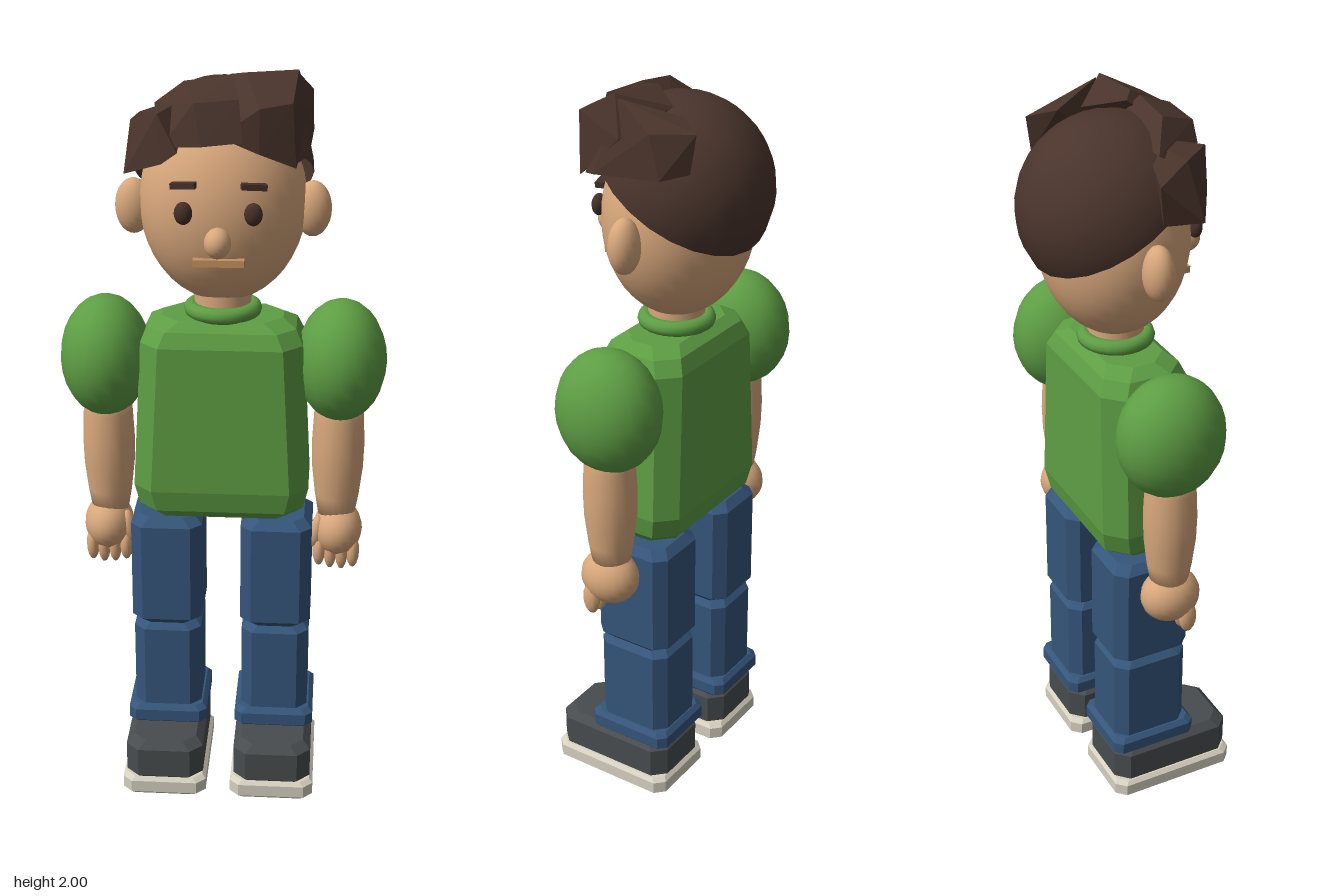
import * as THREE from 'three';
import { ConvexGeometry } from 'three/addons/geometries/ConvexGeometry.js';

const paint = (name, color) => Object.assign(new THREE.MeshStandardMaterial({ color }), { name });

// Chamfered block: levels are [y, halfWidth, halfDepth, centreZ], c is the corner cut
function block(levels, c) {
  const ring = ([y, w, d, z = 0]) => [
    [w, c - d], [w, d - c], [w - c, d], [c - w, d], [-w, d - c], [-w, c - d], [c - w, -d], [w - c, -d],
  ].map(([px, pz]) => [px, y, pz + z]);
  const rings = levels.map(ring);
  const pos = [];
  const tri = (...pts) => pts.forEach((p) => pos.push(...p));
  const last = rings.length - 1;
  const mid = (l) => [0, l[0], l[3] ?? 0];
  for (let j = 0; j < 8; j++) {
    const k = (j + 1) % 8;
    for (let i = 0; i < last; i++) {
      tri(rings[i][j], rings[i + 1][j], rings[i][k]);
      tri(rings[i][k], rings[i + 1][j], rings[i + 1][k]);
    }
    tri(mid(levels[0]), rings[0][j], rings[0][k]);
    tri(mid(levels[last]), rings[last][k], rings[last][j]);
  }
  const g = new THREE.BufferGeometry();
  g.setAttribute('position', new THREE.Float32BufferAttribute(pos, 3));
  g.computeVertexNormals();
  return g;
}

// Block with the same bevel b at top and bottom
const bevelled = (y0, y1, w, d, z, b, c) => block([
  [y0, w - b, d - b, z], [y0 + b, w, d, z], [y1 - b, w, d, z], [y1, w - b, d - b, z],
], c);

const ball = (rx, ry, rz, seg = 20) => new THREE.SphereGeometry(1, seg, Math.round(seg * 0.7)).scale(rx, ry, rz);

export function createModel() {
  const skin = paint('skin', 0xd9a87c);
  const lip = paint('lip', 0xc4925f);
  const hair = paint('hair', 0x4a342c);
  hair.side = THREE.DoubleSide;
  const dark = paint('eye', 0x46302a);
  const shirt = paint('shirt', 0x5e9e44);
  const denim = paint('denim', 0x35557a);
  const leather = paint('shoe', 0x484c4e);
  const rubber = paint('sole', 0xd6d0c0);

  const model = new THREE.Group();
  model.name = 'standingFigure';
  const add = (name, geo, mat, x = 0, y = 0, z = 0, parent = model) => {
    const m = new THREE.Mesh(geo, mat);
    m.name = name;
    m.position.set(x, y, z);
    parent.add(m);
    return m;
  };

  // Torso, collar and neck
  add('torso', block([
    [0.8, 0.2, 0.095], [0.825, 0.222, 0.118], [0.885, 0.235, 0.13],
    [1.29, 0.213, 0.125], [1.33, 0.195, 0.108], [1.352, 0.16, 0.08],
  ], 0.05), shirt);
  add('collar', new THREE.TorusGeometry(0.082, 0.021, 10, 28).rotateX(Math.PI / 2), shirt, 0, 1.368, 0);
  add('neck', new THREE.CylinderGeometry(0.075, 0.075, 0.14, 20), skin, 0, 1.38, 0);

  // Head and face
  add('head', ball(0.216, 0.264, 0.192, 32), skin, 0, 1.654, -0.01);
  add('nose', ball(0.034, 0.039, 0.038), skin, 0, 1.6, 0.203);
  add('mouth', new THREE.BoxGeometry(0.13, 0.018, 0.03), lip, 0, 1.54, 0.166);

  // Skull cap of hair, tilted to the back
  const cap = add('hairCap', new THREE.SphereGeometry(0.24, 24, 10, 0, Math.PI * 2, 0, Math.PI / 2), hair, 0, 1.73, -0.015);
  cap.rotation.x = -0.58;
  cap.scale.x = 0.965;

  // Faceted fringe made of overlapping locks
  const locks = {
    rightLock: [
      [-0.235, 1.76, 0.01], [-0.24, 1.75, 0.12], [-0.235, 1.86, 0], [-0.2, 1.9, 0.09],
      [-0.14, 1.79, 0.18], [-0.1, 1.82, 0.19], [-0.08, 1.93, 0.03], [-0.15, 1.91, 0.165],
    ],
    middleLock: [
      [-0.17, 1.91, 0.03], [-0.09, 1.975, 0.08], [-0.14, 1.83, 0.17], [-0.04, 1.84, 0.207],
      [0.03, 1.99, 0.08], [0.06, 1.85, 0.2], [0.05, 1.95, 0.175], [0.02, 1.93, 0], [-0.06, 1.94, 0.18],
    ],
    leftLock: [
      [0, 1.86, 0.185], [0.02, 1.985, 0.04], [0.1, 1.82, 0.19], [0.19, 1.78, 0.16], [0.19, 2, 0.05],
      [0.18, 1.94, 0.165], [0.06, 1.995, 0.07], [0.09, 1.96, -0.05], [0.222, 1.9, 0.02], [0.1, 1.93, 0.19],
    ],
    leftSideLock: [
      [0.22, 1.8, 0.1], [0.228, 1.82, -0.1], [0.165, 1.93, -0.165], [0.225, 1.93, -0.07],
      [0.19, 1.99, 0.04], [0.12, 1.95, -0.1], [0.195, 1.79, 0.14], [0.17, 1.83, -0.15],
    ],
  };
  for (const [name, pts] of Object.entries(locks)) {
    add(name, new ConvexGeometry(pts.map((p) => new THREE.Vector3(...p))), hair);
  }

  // Forearm outline from wrist to elbow
  const armProfile = [[0, 0.77], [0.05, 0.78], [0.06, 0.84], [0.069, 0.92], [0.071, 0.99], [0.067, 1.07], [0.06, 1.14], [0, 1.15]]
    .map(([r, y]) => new THREE.Vector2(r, y));

  for (const s of [1, -1]) {
    const side = s > 0 ? 'left' : 'right';

    // Ear, eye and brow
    add(side + 'Ear', ball(0.048, 0.073, 0.04), skin, s * 0.231, 1.638, 0);
    add(side + 'Eye', ball(0.023, 0.029, 0.018), dark, s * 0.087, 1.668, 0.179);
    const brow = add(side + 'Brow', new THREE.BoxGeometry(0.064, 0.015, 0.024), dark, s * 0.087, 1.734, 0.163);
    brow.rotation.set(0, s * 0.25, -s * 0.08);

    // Arm with puffed sleeve and hand
    const arm = new THREE.Group();
    arm.name = side + 'Arm';
    model.add(arm);
    add('sleeve', ball(0.121, 0.166, 0.145), shirt, s * 0.314, 1.226, -0.003, arm);
    add('forearm', new THREE.LatheGeometry(armProfile, 20), skin, s * 0.312, 0, 0, arm);
    add('hand', ball(0.067, 0.076, 0.082), skin, s * 0.317, 0.737, 0.002, arm);
    for (let i = 0; i < 4; i++) {
      const len = [0.045, 0.053, 0.055, 0.048][i];
      add('finger', ball(0.018, len, 0.025, 12), skin, s * (0.267 + i * 0.031), 0.68, 0.033, arm);
    }
    const thumb = add('thumb', ball(0.019, 0.048, 0.024, 12), skin, s * 0.258, 0.735, 0.03, arm);
    thumb.rotation.z = -s * 0.15;

    // Leg, cuff and shoe
    const leg = new THREE.Group();
    leg.name = side + 'Leg';
    leg.position.x = s * 0.15;
    model.add(leg);
    add('thigh', bevelled(0.465, 0.79, 0.097, 0.113, -0.002, 0.022, 0.03), denim, 0, 0, 0, leg);
    add('shin', bevelled(0.18, 0.468, 0.093, 0.108, -0.002, 0.018, 0.03), denim, 0, 0, 0, leg);
    add('cuff', bevelled(0.155, 0.212, 0.11, 0.125, 0, 0.012, 0.02), denim, 0, 0, 0, leg);
    add('shoe', bevelled(0.04, 0.163, 0.107, 0.179, 0.064, 0.02, 0.035), leather, 0, 0, 0, leg);
    add('sole', bevelled(0, 0.054, 0.116, 0.185, 0.064, 0.01, 0.025), rubber, 0, 0, 0, leg);
  }
  return model;
}
